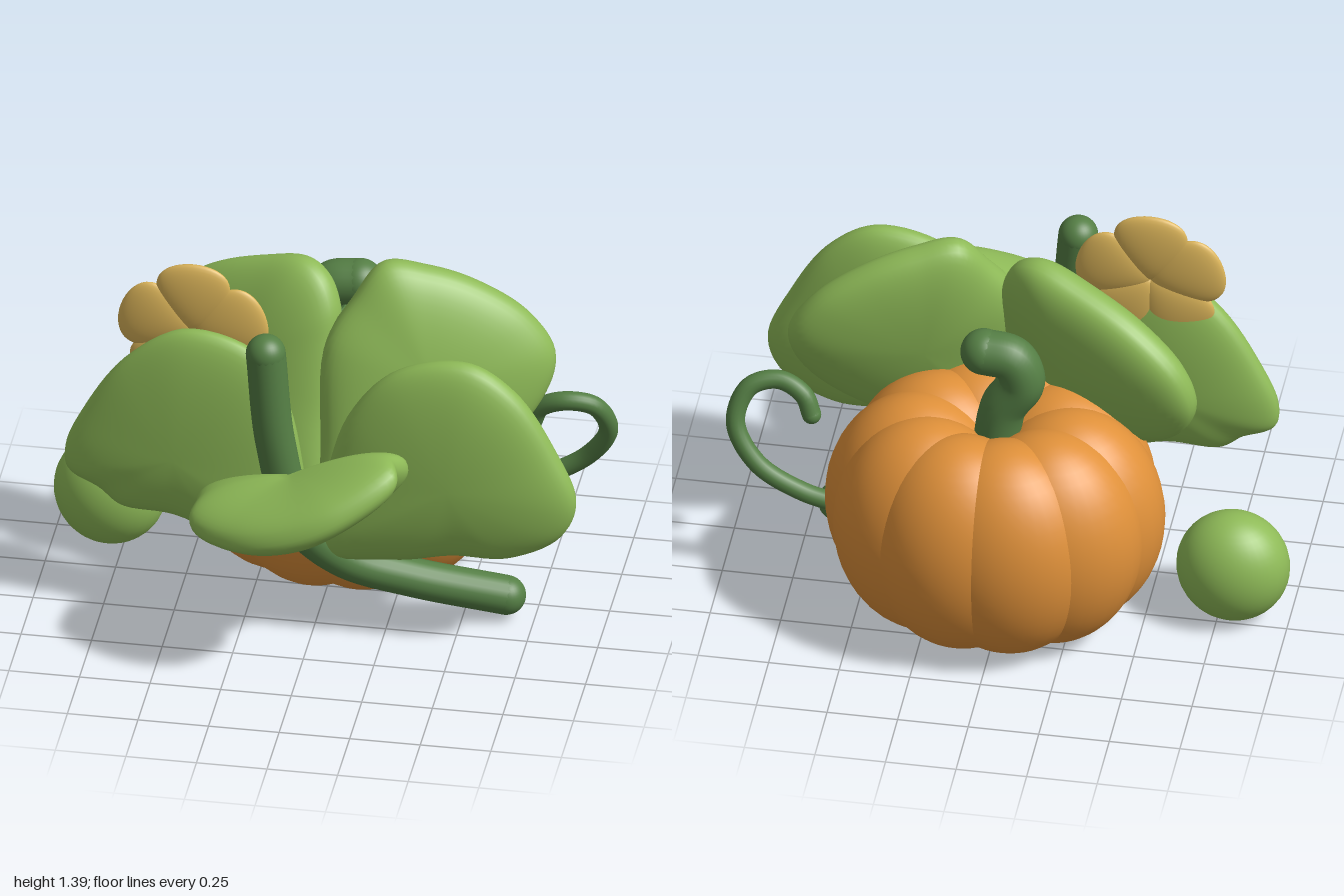
import * as THREE from 'three';
import { mergeVertices } from 'three/addons/utils/BufferGeometryUtils.js';

const V = (x, y, z) => new THREE.Vector3(x, y, z);
const material = (name, color) => {
  const m = new THREE.MeshStandardMaterial({ color });
  m.name = name;
  return m;
};

export function createModel() {
  const orange = material('pumpkinOrange', 0xe0913a);
  const leafGreen = material('leafGreen', 0x8fbb58);
  const stemGreen = material('stemGreen', 0x557f45);
  const yellow = material('blossomYellow', 0xdcb55a);
  const model = new THREE.Group();

  function ellipsoid(name, mat, center, radii, parent = model) {
    const mesh = new THREE.Mesh(new THREE.SphereGeometry(1, 36, 24), mat);
    mesh.name = name;
    mesh.position.set(...center);
    mesh.scale.set(...radii);
    parent.add(mesh);
    return mesh;
  }

  // Round tube through points, with rounded ends
  function vine(name, points, radius) {
    const group = new THREE.Group();
    group.name = name;
    const curve = new THREE.CatmullRomCurve3(points.map(p => V(...p)));
    const tube = new THREE.Mesh(new THREE.TubeGeometry(curve, 60, radius, 18), stemGreen);
    tube.name = name + 'Tube';
    group.add(tube);
    for (const end of [points[0], points[points.length - 1]]) {
      ellipsoid(name + 'End', stemGreen, end, [radius, radius, radius], group);
    }
    model.add(group);
  }

  // Plump leaf: a sphere spread over a closed outline, with a blunt rim
  function leaf(name, outline, thickness) {
    const curve = new THREE.CatmullRomCurve3(outline.map(p => V(...p)), true);
    const rim = curve.getPoints(80);
    const center = V(0, 0, 0);
    for (let i = 0; i < 80; i++) center.addScaledVector(rim[i], 1 / 80);
    const normal = V(0, 0, 0);
    for (let i = 0; i < 80; i++) {
      normal.add(rim[i].clone().sub(center).cross(rim[i + 1].clone().sub(center)));
    }
    normal.normalize();

    let geo = new THREE.SphereGeometry(1, 80, 28);
    const pos = geo.attributes.position, uv = geo.attributes.uv;
    for (let i = 0; i < pos.count; i++) {
      const u = ((uv.getX(i) % 1) + 1) % 1;
      const h = pos.getY(i);
      const rho = Math.sqrt(Math.max(0, 1 - h * h));
      const p = center.clone().lerp(curve.getPoint(u), rho);
      p.addScaledVector(normal, Math.sign(h) * Math.abs(h) ** 0.85 * thickness);
      pos.setXYZ(i, p.x, p.y, p.z);
    }
    geo.deleteAttribute('uv');
    geo.deleteAttribute('normal');
    geo = mergeVertices(geo, 1e-5);
    geo.computeVertexNormals();
    const mesh = new THREE.Mesh(geo, leafGreen);
    mesh.name = name;
    model.add(mesh);
  }
  // Flat outline placed on the sloping plane z = a + b x + c y
  const onPlane = (a, b, c, xy) => xy.map(([x, y]) => [x, y, a + b * x + c * y]);

  // Pumpkin: ten overlapping lobes, slightly squashed front to back
  const pumpkin = new THREE.Group();
  pumpkin.name = 'pumpkin';
  pumpkin.position.set(0.03, 0.422, -0.27);
  pumpkin.scale.z = 0.86;
  for (let i = 0; i < 10; i++) {
    const a = i * Math.PI / 5;
    ellipsoid('pumpkinLobe', orange, [0.27 * Math.cos(a), 0, 0.27 * Math.sin(a)],
      [0.33, 0.421, 0.33], pumpkin);
  }
  model.add(pumpkin);

  // Crooked pumpkin stem
  vine('pumpkinStem', [[0.03, 0.66, -0.27], [0.0, 0.86, -0.27], [-0.065, 0.98, -0.27],
    [-0.03, 1.07, -0.27], [0.07, 1.09, -0.27]], 0.082);

  // Main vine rising in front
  vine('mainVine', [[-0.155, 1.155, 0.37], [-0.12, 0.8, 0.375], [-0.04, 0.46, 0.34],
    [0.1, 0.29, 0.27], [0.33, 0.185, 0.19], [0.65, 0.09, 0.1]], 0.07);

  // Curled tendril at the side
  vine('tendril', [[0.55, 0.33, -0.24], [0.72, 0.38, -0.245], [0.88, 0.48, -0.24],
    [0.962, 0.62, -0.2], [0.92, 0.74, -0.15], [0.82, 0.765, -0.125],
    [0.73, 0.72, -0.14], [0.7, 0.65, -0.155]], 0.034);

  // Small unripe gourd
  ellipsoid('smallGourd', leafGreen, [-0.8, 0.21, -0.19], [0.2, 0.21, 0.165]);

  // Leaves
  leaf('frontRightLeaf', onPlane(0.29, 0.085, 0, [[0.0, 0.34], [-0.03, 0.6], [-0.09, 0.9],
    [-0.2, 1.09], [-0.46, 1.15], [-0.68, 1.0], [-0.83, 0.77], [-0.89, 0.62], [-0.88, 0.53],
    [-0.77, 0.47], [-0.69, 0.41], [-0.5, 0.4], [-0.28, 0.335]]), 0.095);
  leaf('frontLeftLeaf', onPlane(0.3, 0.015, 0, [[0.0, 0.34], [0.3, 0.33], [0.5, 0.37],
    [0.7, 0.38], [0.88, 0.48], [0.935, 0.62], [0.86, 0.82], [0.72, 1.04], [0.55, 1.145],
    [0.3, 1.09], [0.13, 0.9], [0.04, 0.6]]), 0.11);
  leaf('backLeftLeaf', onPlane(0.36, -0.327, -0.218, [[0.03, 0.37], [0.27, 0.44],
    [0.55, 0.59], [0.75, 0.81], [0.79, 0.97], [0.7, 1.12], [0.52, 1.25], [0.35, 1.32],
    [0.2, 1.345], [0.1, 1.22], [0.01, 1.06], [0.01, 0.7]]), 0.13);
  leaf('backRightLeaf', onPlane(0.335, 0.4545, -0.253, [[0.0, 0.4], [0.04, 0.8],
    [0.05, 1.05], [0.045, 1.18], [0.0, 1.275], [-0.08, 1.315], [-0.24, 1.27], [-0.45, 1.17],
    [-0.61, 1.02], [-0.66, 0.86], [-0.59, 0.7], [-0.43, 0.6], [-0.2, 0.5]]), 0.13);
  leaf('lowFrontLeaf', [[-0.05, 0.47, 0.32], [0.2, 0.62, 0.36], [0.36, 0.79, 0.44],
    [0.335, 0.84, 0.53], [0.345, 0.84, 0.62], [0.17, 0.74, 0.745], [0.0, 0.66, 0.775],
    [-0.2, 0.6, 0.74], [-0.38, 0.58, 0.62], [-0.375, 0.59, 0.53], [-0.37, 0.56, 0.42],
    [-0.2, 0.49, 0.35]], 0.115);

  // Five-petal blossom; each petal widens towards its tip
  const blossom = new THREE.Group();
  blossom.name = 'blossom';
  blossom.position.set(-0.44, 1.12, 0.205);
  for (let i = 0; i < 5; i++) {
    const a = Math.PI / 2 + i * Math.PI * 2 / 5;
    const petal = ellipsoid('petal', yellow, [0.135 * Math.cos(a), 0.135 * Math.sin(a), 0],
      [0.135, 0.122, 0.034], blossom);
    petal.rotation.z = a;
    const pos = petal.geometry.attributes.position;
    for (let k = 0; k < pos.count; k++) pos.setY(k, pos.getY(k) * (1 + 0.4 * pos.getX(k)));
    petal.geometry.computeVertexNormals();
  }
  model.add(blossom);

  return model;
}
